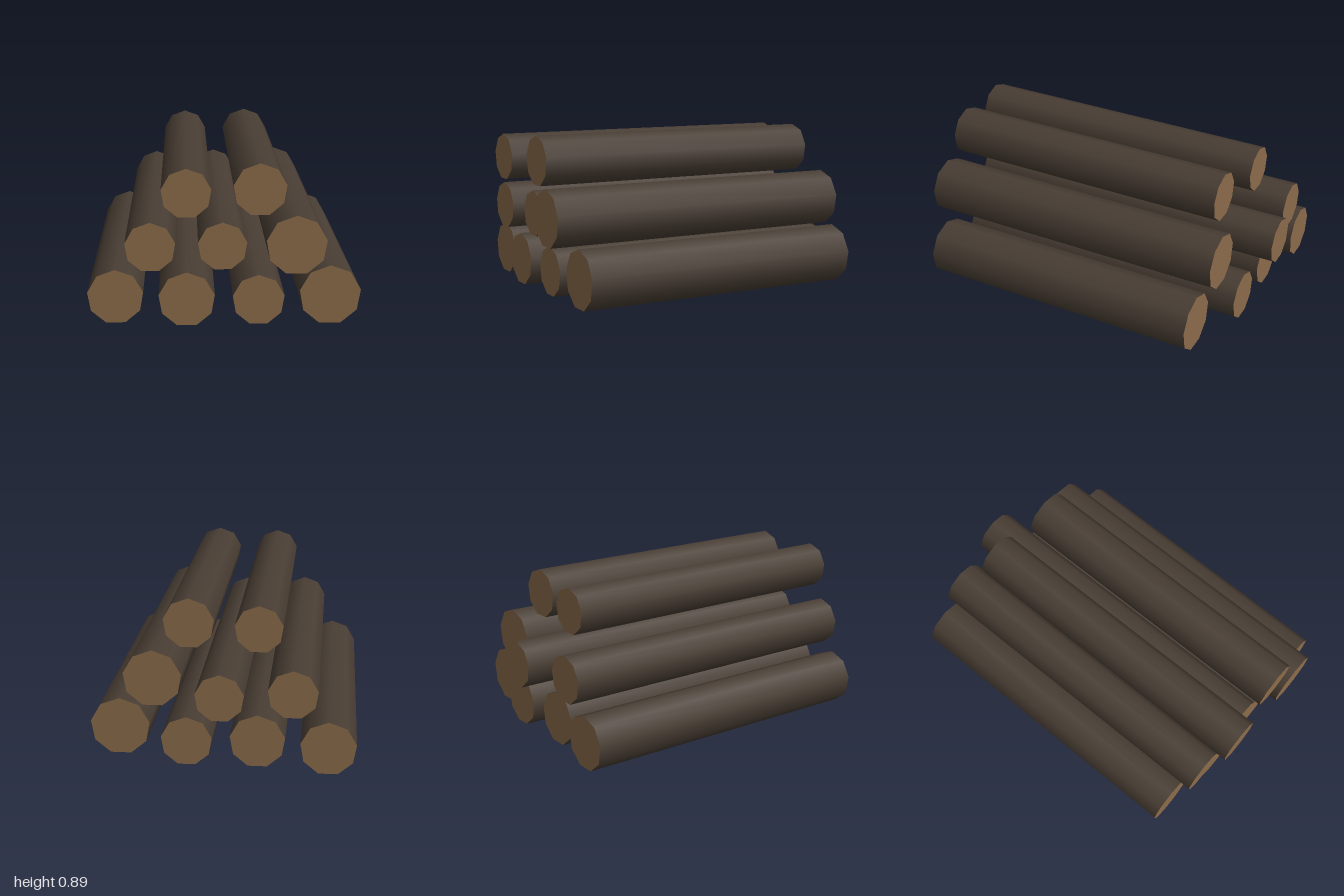
import * as THREE from 'three';

// One log per row: centre x, resting height, radius, back z, front z
const LOGS = [
  // bottom layer
  [-0.58, 0.003, 0.151, -0.93, 0.85],
  [-0.2, 0.003, 0.151, -0.865, 0.905],
  [0.182, 0.003, 0.14, -0.872, 0.89],
  [0.563, 0.003, 0.165, -0.75, 0.89],
  // middle layer
  [-0.39, 0.312, 0.1345, -0.925, 0.925],
  [-0.01, 0.312, 0.131, -1.0, 0.905],
  [0.372, 0.312, 0.16, -0.805, 0.99],
  // top layer
  [-0.2, 0.62, 0.131, -0.775, 1.0],
  [0.182, 0.62, 0.14, -0.725, 0.96],
];
const SIDES = 9;

export function createModel() {
  const bark = new THREE.MeshStandardMaterial({ color: 0x483d33 });
  bark.name = 'bark';
  const cutWood = new THREE.MeshStandardMaterial({ color: 0x8b6b4a });
  cutWood.name = 'cutWood';

  const pile = new THREE.Group();
  pile.name = 'logPile';

  LOGS.forEach(([x, base, radius, back, front], i) => {
    // Lay the cylinder along z, with a corner on top and a flat side below
    const geometry = new THREE.CylinderGeometry(radius, radius, front - back, SIDES);
    geometry.rotateX(-Math.PI / 2);
    // Geometry groups: bark around the side, cut wood on both ends
    const log = new THREE.Mesh(geometry, [bark, cutWood, cutWood]);
    log.name = `log${i + 1}`;
    log.position.set(x, base + radius * Math.cos(Math.PI / SIDES), (front + back) / 2);
    pile.add(log);
  });

  return pile;
}
